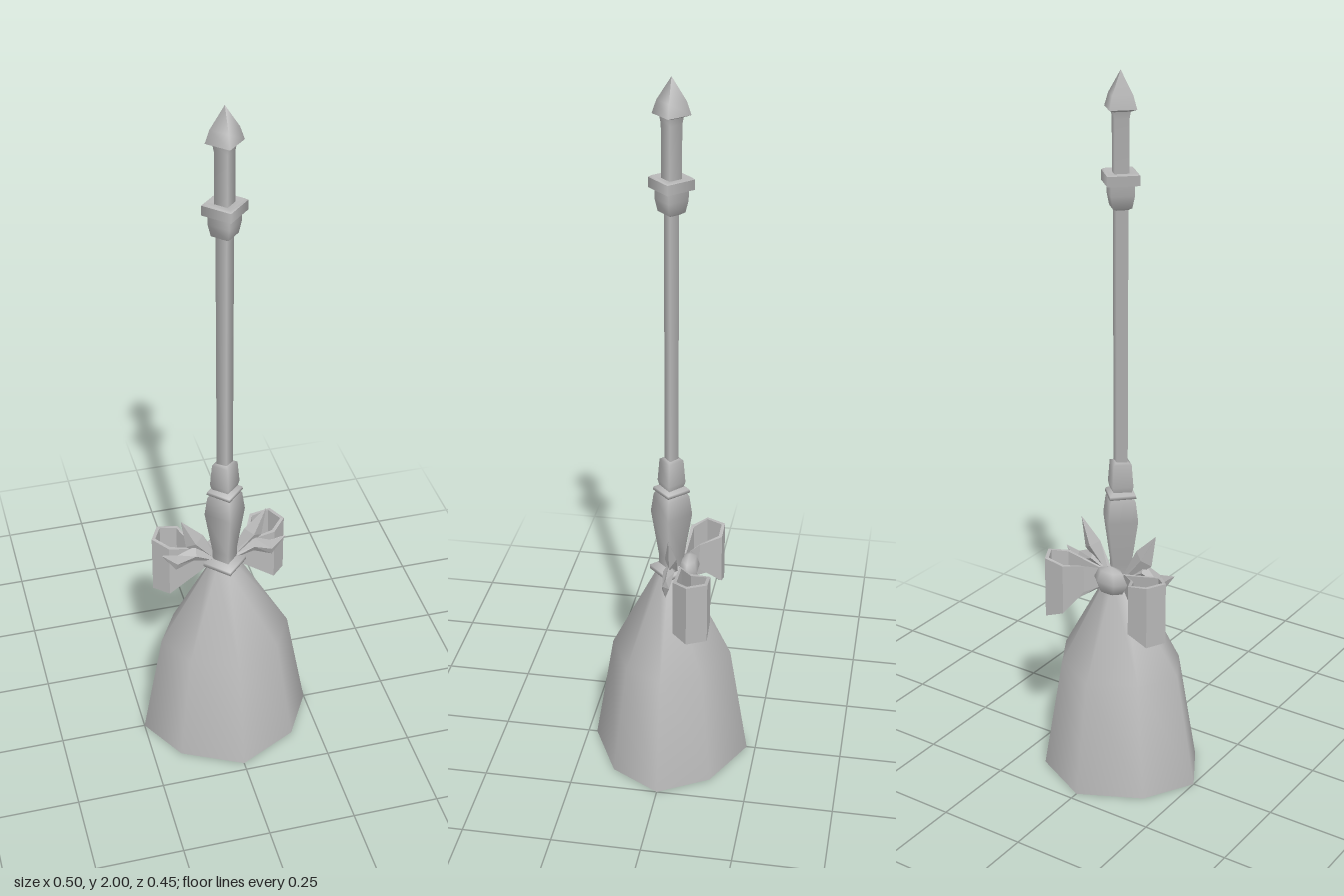
import * as THREE from 'three';

const grey = new THREE.MeshStandardMaterial({ color: 0xb8b8b8, side: THREE.DoubleSide });
grey.name = 'plain grey';

function part(name, geometry) {
  const m = new THREE.Mesh(geometry, grey);
  m.name = name;
  return m;
}

// Turned part; profile runs bottom to top as [radius, y]
function turned(name, profile, sides = 4, depth = 1) {
  const g = new THREE.LatheGeometry(profile.map(([r, y]) => new THREE.Vector2(r, y)), sides);
  return part(name, g.scale(1, 1, depth));
}

// Skin made from closed rings of equal length
function skin(rings, closeLoop = false) {
  const n = rings[0].length, index = [];
  const last = closeLoop ? rings.length : rings.length - 1;
  for (let i = 0; i < last; i++) {
    const k = (i + 1) % rings.length;
    for (let j = 0; j < n; j++) {
      const a = i * n + j, b = i * n + (j + 1) % n, c = k * n + j, d = k * n + (j + 1) % n;
      index.push(a, b, d, a, d, c);
    }
  }
  const g = new THREE.BufferGeometry();
  g.setAttribute('position', new THREE.Float32BufferAttribute(rings.flat(2), 3));
  g.setIndex(index);
  return g;
}

// Ribbon end with a diamond section; stations are [x, y, halfWidth, halfDepth]
function leaf(stations, side, z) {
  const rings = stations.map(([x, y, w, d], i) => {
    const p = stations[Math.max(0, i - 1)], q = stations[Math.min(stations.length - 1, i + 1)];
    const len = Math.hypot(q[0] - p[0], q[1] - p[1]);
    const nx = -(q[1] - p[1]) / len * w, ny = (q[0] - p[0]) / len * w;
    const ring = [[x + nx, y + ny, z], [x, y, z + d], [x - nx, y - ny, z], [x, y, z - d]]
      .map(([a, b, c]) => [a * side, b, c]);
    return side > 0 ? ring : ring.reverse();
  });
  const g = skin(rings).toNonIndexed();
  g.computeVertexNormals();
  return g;
}

// Bow loop: a thick band around a plan outline of [x, z, bottom, top]
function bowLoop(side) {
  const outline = [
    [0.03, -0.03, 0.57, 0.62], [0.155, -0.03, 0.48, 0.645], [0.195, -0.073, 0.475, 0.655],
    [0.168, -0.127, 0.475, 0.655], [0.108, -0.127, 0.50, 0.645], [0.078, -0.068, 0.55, 0.63],
  ];
  const cx = 0.13, cz = -0.078, t = 0.011;
  const rings = outline.map(([x, z, lo, hi]) => {
    const l = Math.hypot(cx - x, cz - z);
    const ix = x + (cx - x) / l * t, iz = z + (cz - z) / l * t;
    const ring = [[x, lo, z], [x, hi, z], [ix, hi, iz], [ix, lo, iz]].map(([a, b, c]) => [a * side, b, c]);
    return side > 0 ? ring : ring.reverse();
  });
  const g = skin(rings, true).toNonIndexed();
  g.computeVertexNormals();
  return g;
}

export function createModel() {
  const broom = new THREE.Group();
  broom.name = 'broom';

  // Eight-sided bristle head, slightly flattened front to back
  const bristles = turned('bristles', [[0.25, 0], [0.19, 0.33], [0.045, 0.59]], 8, 0.9);
  const base = turned('bristleBase', [[0, 0], [0.25, 0]], 8, 0.9);
  for (const m of [bristles, base]) {
    const p = m.geometry.attributes.position;
    for (let i = 0; i < p.count; i++) {
      if (Math.abs(p.getX(i)) > 0.01 && Math.abs(p.getZ(i)) > 0.01) {
        p.setXYZ(i, p.getX(i) * 0.96, p.getY(i), p.getZ(i) * 0.88);
      }
    }
    broom.add(m);
  }

  // Four-sided handle, from binding to finial
  broom.add(
    turned('bindingRing', [[0.04, 0.575], [0.062, 0.588], [0.062, 0.6], [0.038, 0.612]]),
    turned('grip', [[0.035, 0.59], [0.036, 0.64], [0.058, 0.775], [0.05, 0.83], [0.036, 0.85]]),
    turned('gripRing', [[0.03, 0.838], [0.052, 0.843], [0.05, 0.852], [0.03, 0.862]]),
    turned('sleeve', [[0.034, 0.85], [0.042, 0.875], [0.036, 0.94], [0.02, 0.945]], 4, 0.92),
    turned('shaft', [[0.023, 0.93], [0.024, 1.66]], 4, 0.82),
    turned('collarCup', [[0.022, 1.645], [0.036, 1.652], [0.044, 1.685], [0.044, 1.72]]),
    turned('collarSide', [[0.06, 1.713], [0.06, 1.74]]),
    turned('collarBottom', [[0.02, 1.712], [0.06, 1.713]]),
    turned('collarTop', [[0.06, 1.74], [0.052, 1.745], [0.02, 1.738]]),
    turned('neck', [[0.027, 1.735], [0.027, 1.88], [0.032, 1.905]]),
    turned('finialBase', [[0.02, 1.895], [0.05, 1.905]]),
    turned('finial', [[0.05, 1.905], [0.038, 1.94], [0, 2]]),
  );

  // Bow at the back with two pairs of pointed ribbon ends
  const bow = new THREE.Group();
  bow.name = 'bow';
  for (const side of [1, -1]) {
    const s = side > 0 ? 'left' : 'right';
    bow.add(
      part(s + 'BowLoop', bowLoop(side)),
      part(s + 'UpperRibbon', leaf([[0.02, 0.595, 0.008, 0.01], [0.085, 0.675, 0.03, 0.016], [0.122, 0.75, 0.001, 0.001]], side, -0.012)),
      part(s + 'LowerRibbon', leaf([[0.02, 0.6, 0.008, 0.01], [0.085, 0.635, 0.026, 0.016], [0.138, 0.612, 0.026, 0.01], [0.18, 0.645, 0.001, 0.001]], side, -0.007)),
    );
  }
  const knot = part('bowKnot', new THREE.SphereGeometry(1, 6, 4).scale(0.055, 0.045, 0.03));
  knot.position.set(0, 0.6, -0.05);
  bow.add(knot);
  broom.add(bow);
  return broom;
}
